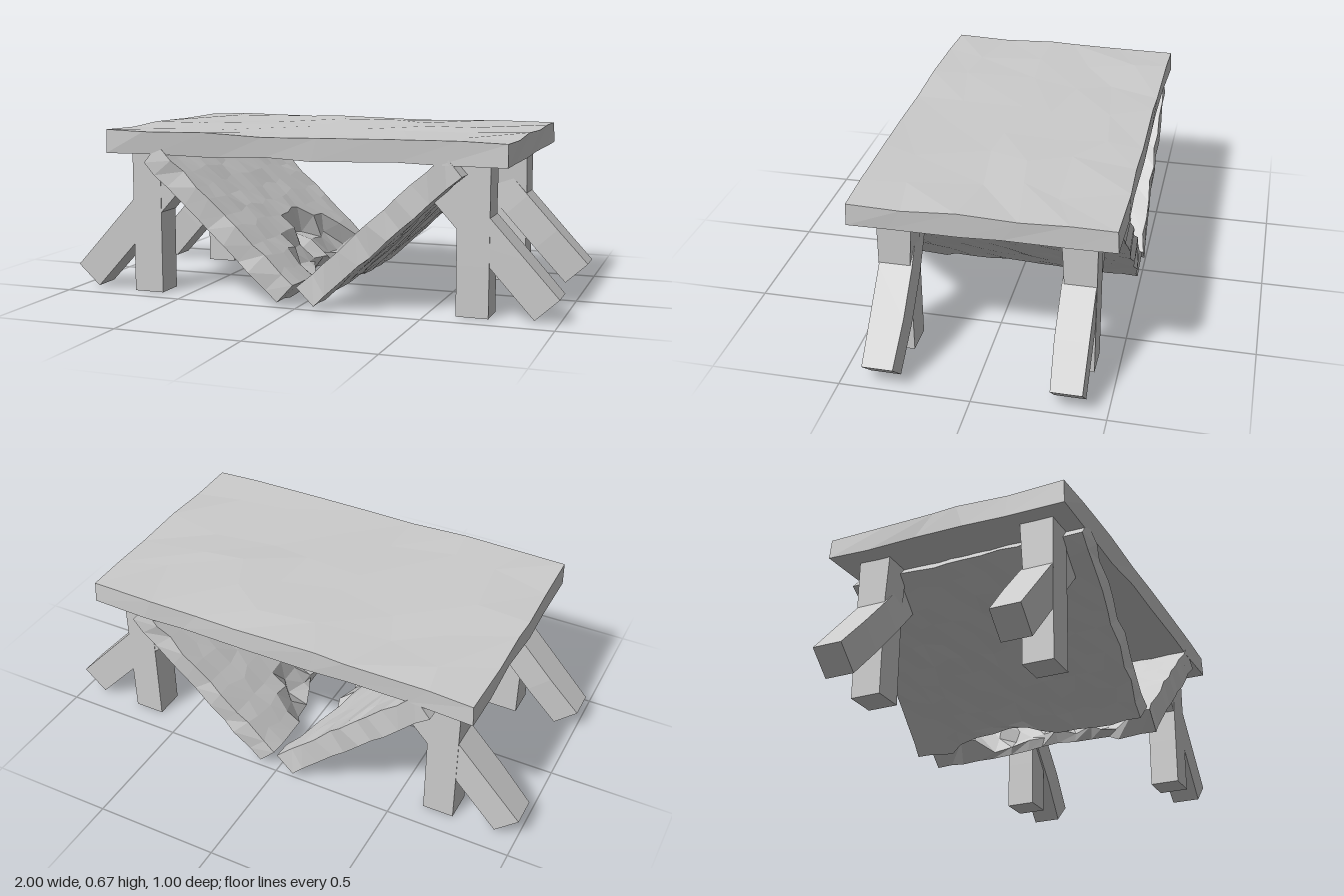
import * as THREE from 'three';

const material = new THREE.MeshStandardMaterial({ color: 0xcccccc, flatShading: true, side: THREE.DoubleSide });

// Repeatable value in -1..1 from a position, so coincident corners move together
function noise(x, y, z, seed) {
  const r = (v) => Math.round(v * 1000) / 1000 + 0;
  const s = Math.sin(r(x) * 127.1 + r(y) * 311.7 + r(z) * 74.7 + seed * 19.3) * 43758.5453;
  return (s - Math.floor(s)) * 2 - 1;
}

// Box whose vertices are moved by a rule
function carvedBox(size, segments, rule) {
  const geometry = new THREE.BoxGeometry(...size, ...segments);
  const p = geometry.attributes.position;
  const v = new THREE.Vector3();
  for (let i = 0; i < p.count; i++) {
    v.fromBufferAttribute(p, i);
    rule(v);
    p.setXYZ(i, v.x, v.y, v.z);
  }
  geometry.computeVertexNormals();
  return geometry;
}

// Roughly hewn stone: small waves on the faces, shifted grid inside them
function roughen(v, w, d, shift, wave, seed) {
  const { x, y, z } = v;
  const onX = Math.abs(x) > w / 2 - 0.001;
  const onZ = Math.abs(z) > d / 2 - 0.001;
  v.x += noise(x, y, z, seed) * (onX ? 0.006 : shift);
  v.z += noise(x, y, z, seed + 1) * (onZ ? 0.007 : shift);
  v.y += noise(x, y, z, seed + 2) * wave;
}

function add(parent, name, geometry, x, y, z, angle = 0) {
  const mesh = new THREE.Mesh(geometry, material);
  mesh.name = name;
  mesh.position.set(x, y, z);
  mesh.rotation.z = angle;
  parent.add(mesh);
  return mesh;
}

export function createModel() {
  const model = new THREE.Group();
  model.name = 'stoneTable';

  // Table top
  const top = carvedBox([1.63, 0.088, 0.99], [7, 1, 5], (v) => roughen(v, 1.63, 0.99, 0.06, 0.006, 3));
  add(model, 'tableTop', top, 0, 0.62, 0);

  // Sloping slab with a broken lower edge
  const L = 0.78;
  const slab = carvedBox([L, 0.098, 0.985], [10, 1, 14], (v) => {
    const { x, y, z } = v;
    const up = x + L / 2;
    roughen(v, L, 0.985, 0.015, 0.004, 8);
    const across = 1 - Math.abs(z - 0.07) / 0.31;
    if (across <= 0) return;
    const reach = 0.3 * Math.sqrt(across);
    if (y > 0 && up < reach) {
      // Chipped upper face
      v.y -= 0.062 + 0.022 * noise(x, y, z, 21);
      v.x += 0.012 * noise(x, y, z, 22);
    }
    if (up < 0.001) v.x += (y > 0 ? 0.075 : 0.05) * across + 0.015 * noise(x, y, z, 23);
  });

  // Each half carries a slab, two legs and two struts; the other half is turned about y
  for (const side of ['left', 'right']) {
    const half = new THREE.Group();
    half.name = side + 'Support';
    half.rotation.y = side === 'left' ? 0 : Math.PI;
    model.add(half);
    add(half, 'slopingSlab', slab, 0.328, 0.314, 0, 0.74);

    for (const z of [0.347, -0.352]) {
      // Upright leg, slightly wider toward the top on its inner side
      const leg = carvedBox([0.125, 0.585, 0.122], [1, 3, 1], (v) => {
        if (v.y > 0.2 && v.z * z < 0) v.z -= Math.sign(z) * 0.012;
      });
      add(half, 'leg', leg, 0.675, 0.2925, z);

      // Diagonal strut from the slab out to the ground
      const strut = carvedBox([0.57, 0.125, 0.118], [3, 1, 1], (v) => {
        if (Math.abs(v.x) < 0.1 && v.z * z < 0) v.z -= Math.sign(z) * 0.01;
      });
      add(half, 'strut', strut, 0.7625, 0.26, z, -0.829);
    }
  }
  return model;
}
